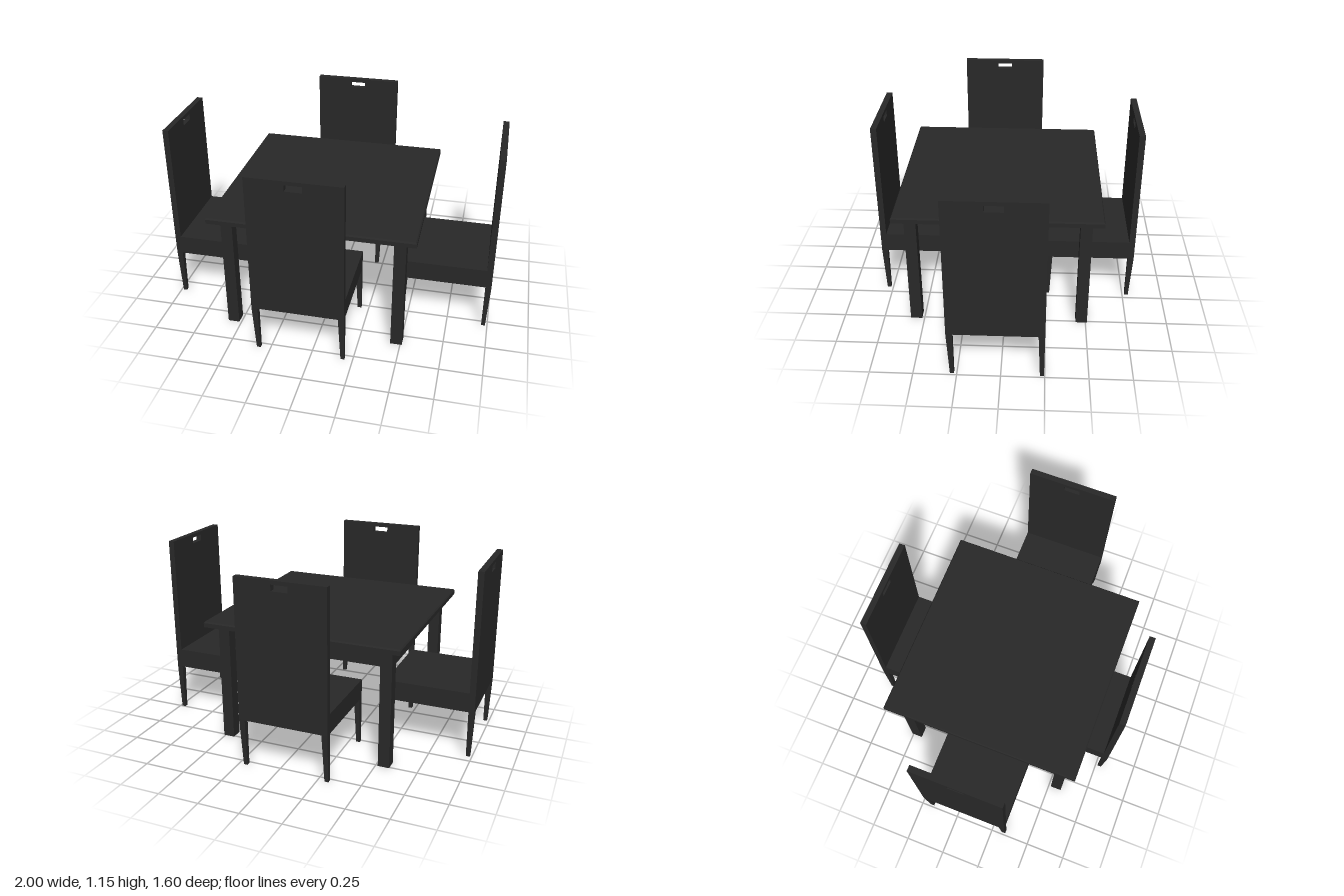
import * as THREE from 'three';

const black = new THREE.MeshStandardMaterial({ color: 0x282828 });
black.name = 'blackWood';
const grey = new THREE.MeshStandardMaterial({ color: 0xd8d8d8 });
grey.name = 'paleUnderside';

// Box given by its minimum and maximum corners
function box(name, min, max, material = black) {
  const size = max.map((v, i) => v - min[i]);
  const mesh = new THREE.Mesh(new THREE.BoxGeometry(...size), material);
  mesh.position.set(...max.map((v, i) => (v + min[i]) / 2));
  mesh.name = name;
  return mesh;
}

// Scales the upper or lower end of a box about the point (px, pz) of its own frame
function taper(mesh, sign, sx, sz, px = 0, pz = 0) {
  const p = mesh.geometry.attributes.position;
  for (let i = 0; i < p.count; i++) {
    if (p.getY(i) * sign > 0) {
      p.setX(i, px + (p.getX(i) - px) * sx);
      p.setZ(i, pz + (p.getZ(i) - pz) * sz);
    }
  }
  mesh.geometry.computeVertexNormals();
  return mesh;
}

// Chair facing -z, with the outer face of its back at z = 0
function createChair(name) {
  const W = 0.274, D = 0.547, T = 0.036, H = 0.295;
  const chair = new THREE.Group();
  chair.name = name;

  // Backrest with a hand slot
  const shape = new THREE.Shape();
  shape.moveTo(-W, H).lineTo(W, H).lineTo(W, 1.148).lineTo(-W, 1.148).closePath();
  const slot = new THREE.Path();
  slot.moveTo(-0.05, 1.088).lineTo(-0.05, 1.125).lineTo(0.05, 1.125).lineTo(0.05, 1.088).closePath();
  shape.holes.push(slot);
  const back = new THREE.Mesh(
    new THREE.ExtrudeGeometry(shape, { depth: T, bevelEnabled: false }), black);
  back.position.z = -T;
  back.name = 'backrest';
  chair.add(back, box('seat', [-W, H, -D], [W, 0.415, -T]));

  // Legs narrow towards one inner corner of their section
  for (const x of [-W, W - T]) {
    for (const z of [-D, -T]) {
      const leg = box(z === -D ? 'frontLeg' : 'backLeg', [x, 0, z], [x + T, H, z + T]);
      chair.add(taper(leg, -1, 0.65, 0.65, T / 2, -T / 2));
    }
  }
  return chair;
}

function createTable() {
  const table = new THREE.Group();
  table.name = 'table';
  const R = 0.61, B = 0.735, L = 0.547;

  // Top with a small chamfer around its upper edge
  table.add(box('tableTop', [-R, B, -R], [R, 0.761, R]));
  const edge = box('topChamfer', [-R, 0.761, -R], [R, 0.77, R]);
  table.add(taper(edge, 1, 0.99, 0.99));
  table.add(box('undersidePanel', [-L, B - 0.003, -L], [L, B, L], grey));

  for (const x of [-L, L - 0.07]) {
    for (const z of [-L, L - 0.07]) {
      table.add(box('tableLeg', [x, 0, z], [x + 0.07, B, z + 0.07]));
    }
  }
  table.position.set(-0.037, 0, 0.038);
  return table;
}

export function createModel() {
  const model = new THREE.Group();
  model.name = 'diningSet';
  model.add(createTable());

  // Name, quarter turns, x and z of each chair
  const places = [
    ['frontChair', 0, -0.072, 0.8],
    ['leftChair', 1, 1, 0.028],
    ['rearChair', 2, -0.042, -0.8],
    ['rightChair', 3, -1, 0.065],
  ];
  for (const [name, turns, x, z] of places) {
    const chair = createChair(name);
    chair.rotation.y = turns * Math.PI / 2;
    chair.position.set(x, 0, z);
    model.add(chair);
  }
  return model;
}
